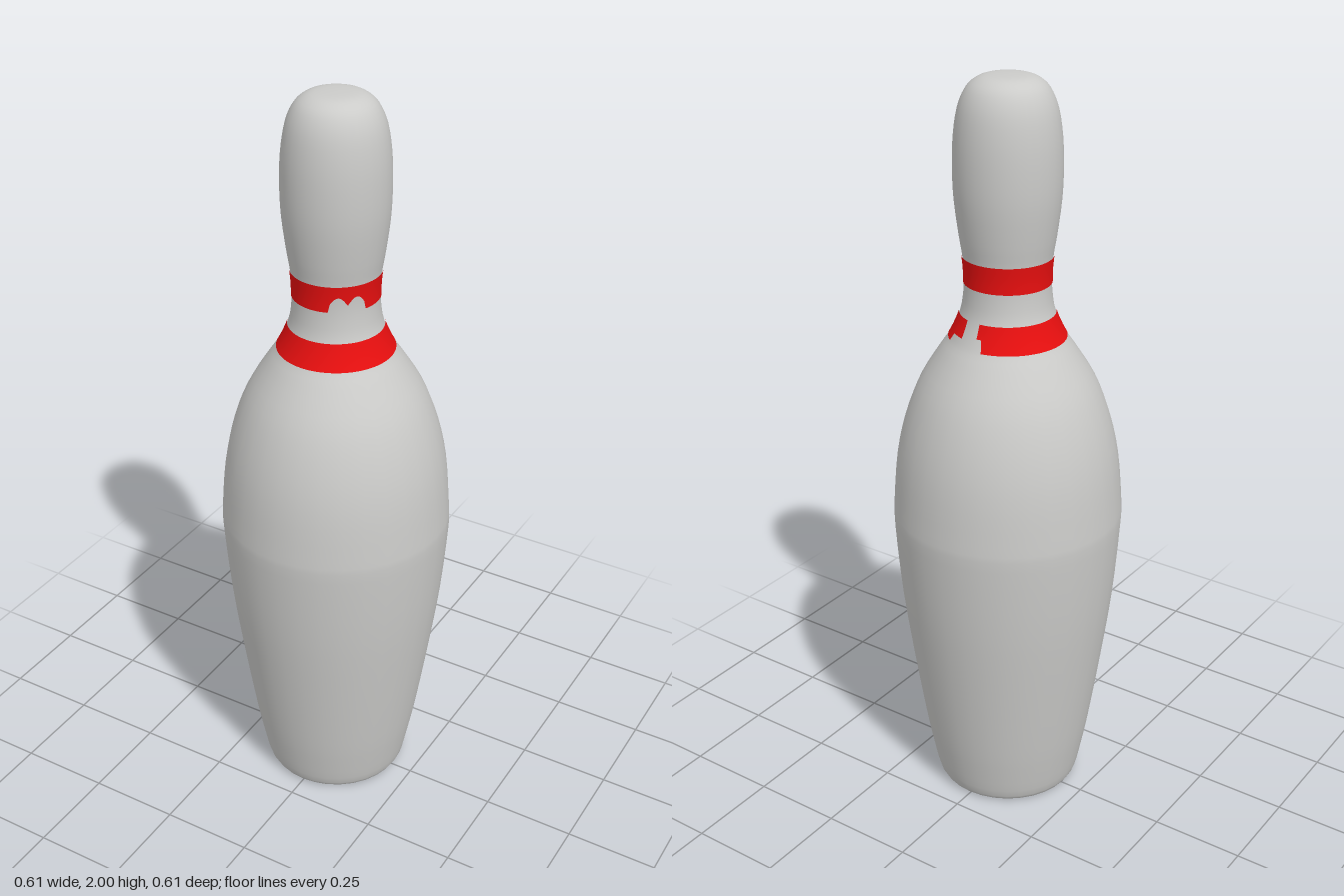
import * as THREE from 'three';

// Half outline from foot to crown: [radius, height]
const outline = [
  [0.18, 0], [0.197, 0.018], [0.215, 0.1], [0.233, 0.2], [0.263, 0.4], [0.289, 0.6],
  [0.305, 0.8], [0.304, 0.87], [0.292, 1.0], [0.268, 1.11], [0.23, 1.21], [0.175, 1.3],
  [0.148, 1.34], [0.122, 1.4], [0.113, 1.45], [0.111, 1.5], [0.115, 1.55], [0.123, 1.6],
  [0.134, 1.69], [0.137, 1.77], [0.134, 1.85], [0.123, 1.92], [0.104, 1.965],
  [0.08, 1.988], [0.05, 1.998], [0, 2],
].map(([r, y]) => new THREE.Vector2(r, y));
const profile = new THREE.SplineCurve(outline).getPoints(75);
profile[profile.length - 1].x = 0;

function radiusAt(y) {
  const i = Math.max(1, profile.findIndex((p) => p.y >= y));
  const a = profile[i - 1], b = profile[i];
  return THREE.MathUtils.mapLinear(y, a.y, b.y, a.x, b.x);
}

// Painted band hugging the body; edges(angle) gives its [bottom, top] heights
function bandGeometry(edges) {
  const cols = 128, rows = 6, pos = [], index = [], empty = [];
  for (let i = 0; i < cols; i++) {
    const a = (i / cols) * Math.PI * 2;
    const [lo, hi] = edges((i / cols) * 360);
    empty.push(hi - lo < 0.002);
    for (let j = 0; j <= rows; j++) {
      const y = THREE.MathUtils.lerp(lo, hi, j / rows);
      const r = radiusAt(y) + 0.002;
      pos.push(r * Math.cos(a), y, r * Math.sin(a));
    }
  }
  for (let i = 0; i < cols; i++) {
    const n = (i + 1) % cols;
    if (empty[i] || empty[n]) continue;
    for (let j = 0; j < rows; j++) {
      const p = i * (rows + 1) + j, q = n * (rows + 1) + j;
      index.push(p, p + 1, q, q, p + 1, q + 1);
    }
  }
  const g = new THREE.BufferGeometry();
  g.setAttribute('position', new THREE.Float32BufferAttribute(pos, 3));
  g.setIndex(index);
  g.computeVertexNormals();
  return g;
}

// Upper band: worn notch in the lower edge at the front left
function upperEdges(deg) {
  const d = Math.abs(deg - 45);
  const chip = d < 24 ? 0.018 + 0.022 * Math.abs(Math.sin((d / 24) * Math.PI)) : 0;
  return [1.48 + chip, 1.55];
}

// Lower band: worn gap near the back
function lowerEdges(deg) {
  if (deg > 271 && deg < 289) return [1.4, 1.4];
  if (deg >= 289 && deg < 307) return [1.355, 1.4];
  if (deg > 262 && deg <= 271) return [1.365, 1.4];
  return [1.335, 1.4];
}

export function createModel() {
  const group = new THREE.Group();
  group.name = 'bowlingPin';
  const grey = new THREE.MeshStandardMaterial({ color: 0xcbcbc9 });
  grey.name = 'pale grey';
  const red = new THREE.MeshStandardMaterial({ color: 0xf01010 });
  red.name = 'red';

  const add = (name, geometry, material) => {
    const mesh = new THREE.Mesh(geometry, material);
    mesh.name = name;
    group.add(mesh);
    return mesh;
  };

  add('body', new THREE.LatheGeometry(profile, 32), grey);
  // Flat foot
  const foot = add('foot', new THREE.CircleGeometry(outline[0].x, 32), grey);
  foot.rotation.x = Math.PI / 2;
  add('upperBand', bandGeometry(upperEdges), red);
  add('lowerBand', bandGeometry(lowerEdges), red);
  return group;
}
